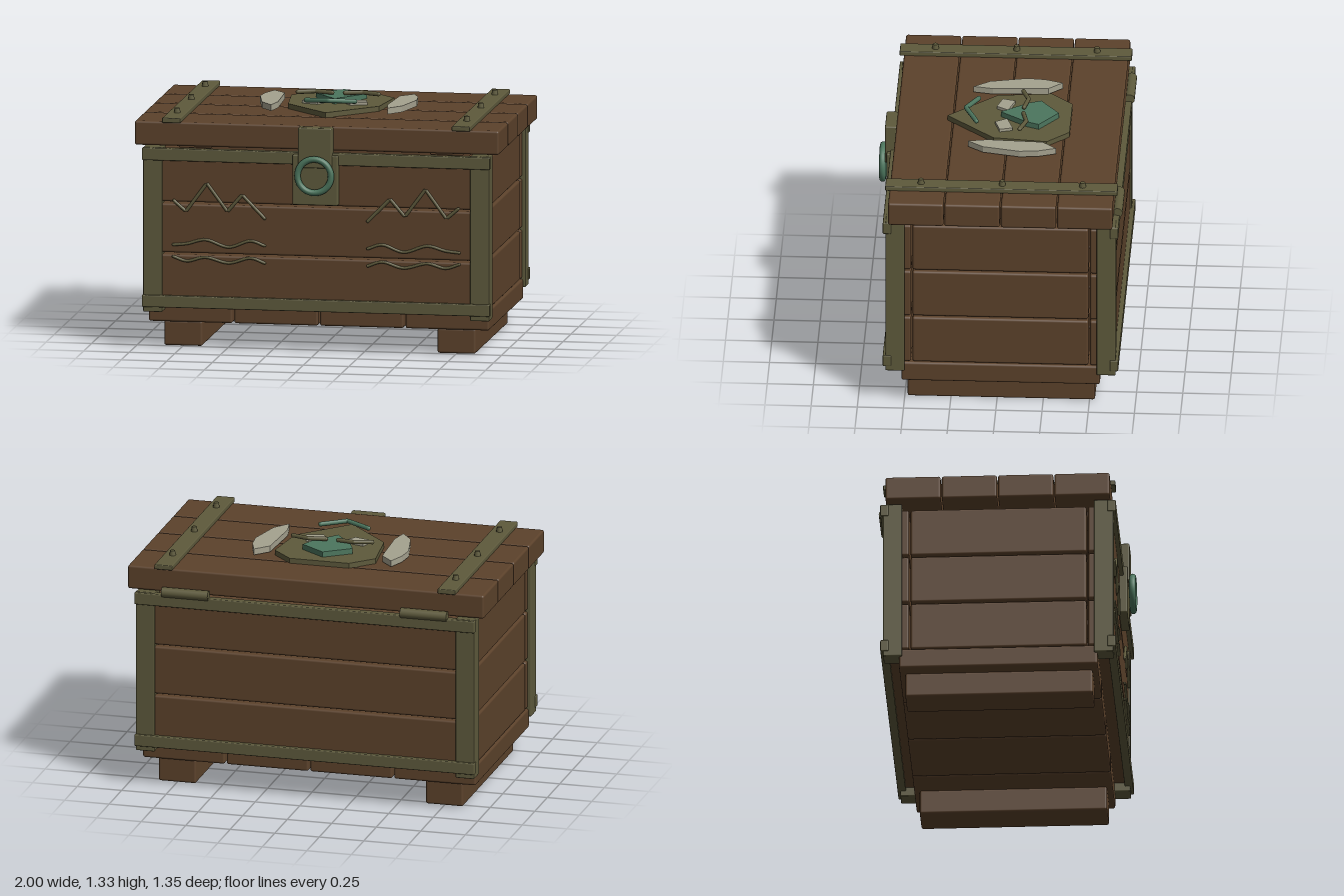
import * as THREE from 'three';
import { RoundedBoxGeometry } from 'three/addons/geometries/RoundedBoxGeometry.js';

const mat = (name, color) => {
  const m = new THREE.MeshStandardMaterial({ color });
  m.name = name;
  return m;
};

export function createModel() {
  const chest = new THREE.Group();
  chest.name = 'chest';
  const wood = mat('wood', 0x5c422b);
  const bronze = mat('bronze', 0x5e5a3c);
  const verdigris = mat('verdigris', 0x4c765e);
  const ivory = mat('ivory', 0xa5a28f);

  const add = (name, geometry, material) => {
    const mesh = new THREE.Mesh(geometry, material);
    mesh.name = name;
    chest.add(mesh);
    return mesh;
  };
  // Softened box given by its minimum and maximum on each axis
  const block = (name, material, [x0, x1], [y0, y1], [z0, z1], r = 0.012) =>
    add(name, new RoundedBoxGeometry(x1 - x0, y1 - y0, z1 - z0, 2, r), material)
      .position.set((x0 + x1) / 2, (y0 + y1) / 2, (z0 + z1) / 2);
  const span = (s, a, b) => (s > 0 ? [a, b] : [-b, -a]);
  // Flat plate lying on the lid, outlined by [x, z] points
  const plate = (name, material, pts, y0, y1) => {
    const shape = new THREE.Shape(pts.map(([x, z]) => new THREE.Vector2(x, -z)));
    const g = new THREE.ExtrudeGeometry(shape, { depth: y1 - y0, bevelEnabled: false });
    g.rotateX(-Math.PI / 2).translate(0, y0, 0);
    return add(name, g, material);
  };
  // Round bar through points, straight or smooth, with closed ends
  const bar = (name, material, pts, r, smooth) => {
    const v = pts.map((p) => new THREE.Vector3(...p));
    let path = new THREE.CatmullRomCurve3(v);
    if (!smooth) {
      path = new THREE.CurvePath();
      for (let i = 1; i < v.length; i++) path.add(new THREE.LineCurve3(v[i - 1], v[i]));
    }
    add(name, new THREE.TubeGeometry(path, smooth ? 40 : 60, r, 8), material);
    for (const end of [v[0], v[v.length - 1]]) {
      add(name + 'End', new THREE.SphereGeometry(r, 8, 6), material).position.copy(end);
    }
  };

  // Feet and floor planks
  for (const s of [-1, 1]) block('foot', wood, span(s, 0.645, 0.855), [0, 0.137], [-0.53, 0.485]);
  for (let i = 0; i < 4; i++) {
    const x = -0.935 + i * 0.47;
    block('floorPlank', wood, [x, x + 0.46], [0.135, 0.245], [-0.56, 0.515]);
  }

  // Three rows of wall boards
  for (let i = 0; i < 3; i++) {
    const y = [0.248 + i * 0.279, 0.517 + i * 0.279];
    block('frontBoard', wood, [-0.93, 0.93], y, [0.463, 0.592]);
    block('backBoard', wood, [-0.93, 0.93], y, [-0.635, -0.505]);
    for (const s of [-1, 1]) block('sideBoard', wood, span(s, 0.8, 0.93), y, [-0.497, 0.455]);
  }

  // Metal corner posts and rails
  for (const s of [-1, 1]) {
    block('frontPost', bronze, span(s, 0.845, 0.95), [0.2, 1.103], [0.497, 0.6], 0.006);
    block('backPost', bronze, span(s, 0.845, 0.95), [0.2, 1.103], [-0.645, -0.543], 0.006);
  }
  for (const y of [[0.228, 0.293], [1.033, 1.1]]) {
    block('frontRail', bronze, [-0.955, 0.955], y, [0.57, 0.615], 0.006);
    block('backRail', bronze, [-0.955, 0.955], y, [-0.66, -0.615], 0.006);
  }

  // Lid planks and the battens beneath them
  for (let i = 0; i < 4; i++) {
    const z = -0.63 + i * 0.305;
    block('lidPlank', wood, [-1, 1], [1.11, 1.242], [z, z + 0.299]);
  }
  for (const s of [-1, 1]) {
    block('lidBatten', wood, span(s, 0.6, 0.78), [1.08, 1.113], [-0.49, 0.455], 0.006);
    // Lid straps with rivets, and hinges
    block('lidStrap', bronze, span(s, 0.745, 0.845), [1.239, 1.266], [-0.65, 0.607], 0.005);
    for (const z of [-0.46, -0.025, 0.415]) {
      add('rivet', new THREE.CylinderGeometry(0.014, 0.019, 0.028, 8), bronze)
        .position.set(s * 0.795, 1.278, z);
    }
    const hinge = add('hinge', new THREE.CylinderGeometry(0.028, 0.028, 0.26, 16), bronze);
    hinge.rotation.z = Math.PI / 2;
    hinge.position.set(s * 0.67, 1.113, -0.648);
  }

  // Lock plate, hasp and ring
  block('lockPlate', bronze, [-0.125, 0.125], [0.815, 1.09], [0.58, 0.635], 0.008);
  block('hasp', bronze, [-0.093, 0.093], [1.02, 1.24], [0.582, 0.645], 0.008);
  add('ring', new THREE.TorusGeometry(0.092, 0.0175, 12, 40), verdigris).position.set(0, 0.98, 0.66);

  // Mountain and wave inlays on the front
  const mountain = [[0.78, 0.813], [0.715, 0.757], [0.6, 0.914], [0.487, 0.762], [0.406, 0.856], [0.283, 0.73]];
  const upperWave = [[0.785, 0.572], [0.71, 0.58], [0.61, 0.604], [0.48, 0.567], [0.36, 0.604], [0.283, 0.58]];
  const lowerWave = [[0.785, 0.508], [0.71, 0.485], [0.61, 0.508], [0.48, 0.48], [0.36, 0.51], [0.283, 0.485]];
  for (const s of [-1, 1]) {
    const place = (pts) => pts.map(([x, y]) => [s * x, y, 0.599]);
    bar('mountainInlay', bronze, place(mountain), 0.009, false);
    bar('waveInlay', bronze, place(upperWave), 0.008, true);
    bar('waveInlay', bronze, place(lowerWave), 0.008, true);
  }

  // Mask on the lid
  plate('maskFace', bronze, [[-0.166, -0.358], [0.166, -0.358], [0.283, -0.24], [0.25, 0.05],
    [0, 0.31], [-0.25, 0.05], [-0.283, -0.24]], 1.24, 1.27);
  plate('maskNose', verdigris, [[0, -0.292], [0.14, -0.19], [0.11, -0.12], [0, 0.022],
    [-0.11, -0.12], [-0.14, -0.19]], 1.269, 1.3);
  bar('maskMouth', verdigris, [[-0.134, 1.309, 0.148], [0, 1.32, 0.21], [0.134, 1.309, 0.148]], 0.013, false);
  for (const s of [-1, 1]) {
    const flip = (pts) => pts.map(([x, z]) => [s * x, z]);
    plate('maskEye', ivory, flip([[0.16, -0.05], [0.05, -0.015], [0.09, 0.048], [0.18, 0.02]]), 1.269, 1.286);
    plate('sideFeather', ivory, flip([[0.385, -0.295], [0.315, -0.22], [0.3, 0.08], [0.32, 0.185],
      [0.385, 0.1], [0.43, -0.1], [0.42, -0.2]]), 1.25, 1.284);
    bar('maskBrow', bronze, [[s * 0.222, 1.312, -0.09], [s * 0.13, 1.314, -0.122], [s * 0.035, 1.312, -0.102]], 0.012, false);
  }
  return chest;
}
